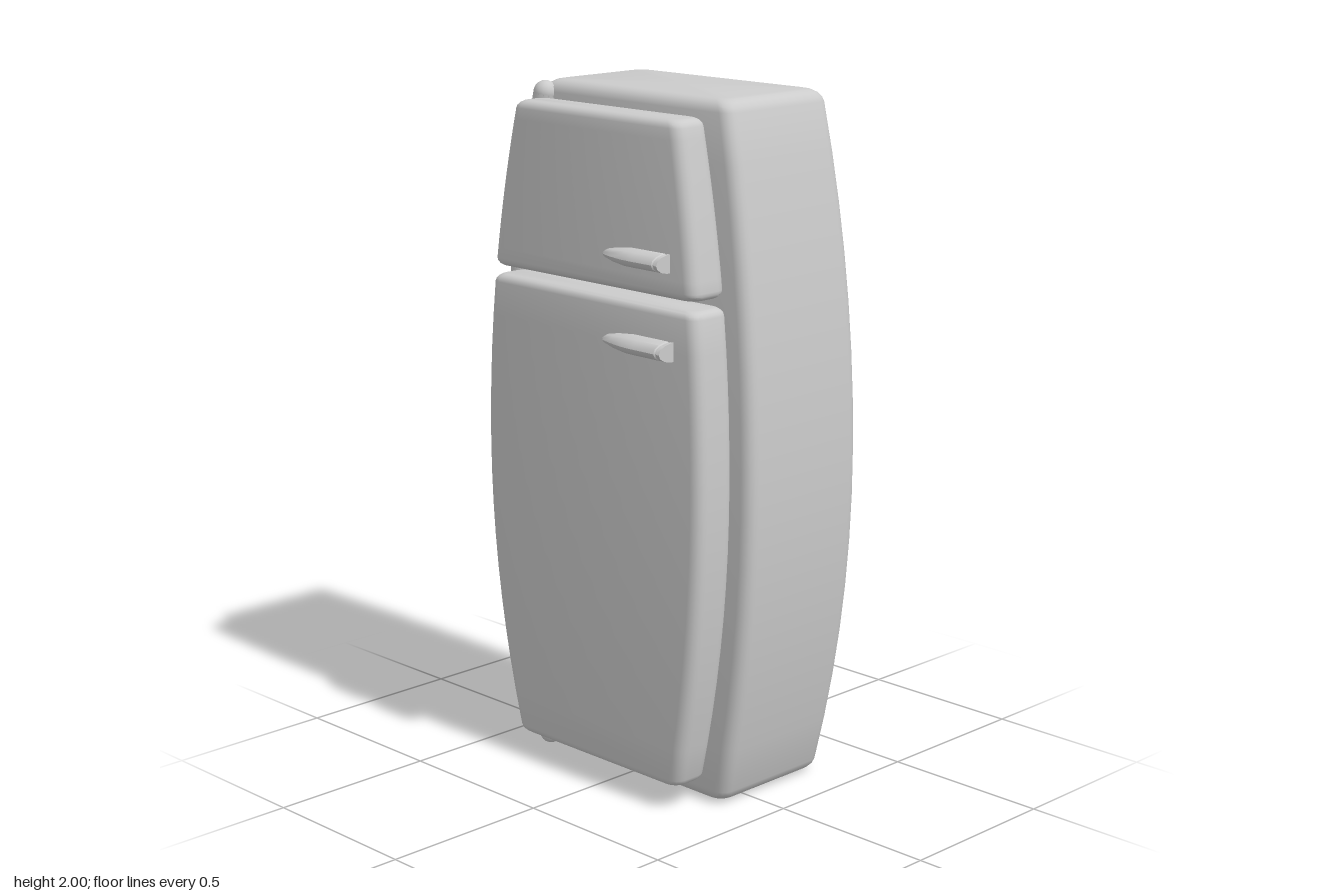
import * as THREE from 'three';
import { toCreasedNormals } from 'three/addons/utils/BufferGeometryUtils.js';

const material = new THREE.MeshStandardMaterial({ color: 0xcccccc });
const sheet = new THREE.MeshStandardMaterial({ color: 0xcccccc, side: THREE.DoubleSide });

// Bulge of the cabinet: squared distance from the widest height, and half width there
const bow = (y) => (y - 0.95) ** 2;
const halfWidth = (y) => 0.485 - (y > 0.95 ? 0.11 : 0.135) * bow(y);

// Closed skin through rings of points, with a fan at each end
function loft(rings, crease = 0.55) {
  const n = rings[0].length, pos = [], idx = [];
  rings.forEach((ring) => ring.forEach((p) => pos.push(p.x, p.y, p.z)));
  for (let r = 0; r < rings.length - 1; r++) {
    for (let i = 0; i < n; i++) {
      const a = r * n + i, d = r * n + ((i + 1) % n);
      idx.push(a, a + n, d + n, a, d + n, d);
    }
  }
  [rings[0], rings[rings.length - 1]].forEach((ring, end) => {
    const c = ring.reduce((s, p) => s.add(p), new THREE.Vector3()).divideScalar(n);
    const centre = pos.length / 3, base = end * (rings.length - 1) * n;
    pos.push(c.x, c.y, c.z);
    for (let i = 0; i < n; i++) {
      const a = base + i, b = base + ((i + 1) % n);
      idx.push(centre, end ? b : a, end ? a : b);
    }
  });
  const geo = new THREE.BufferGeometry();
  geo.setAttribute('position', new THREE.Float32BufferAttribute(pos, 3));
  geo.setIndex(idx);
  return toCreasedNormals(geo, crease);
}

// Rounded rectangle in a level plane
function roundedRing(x0, x1, z0, z1, y, r) {
  const ring = [], steps = 4;
  const corners = [[x1 - r, z1 - r], [x0 + r, z1 - r], [x0 + r, z0 + r], [x1 - r, z0 + r]];
  corners.forEach(([cx, cz], q) => {
    for (let i = 0; i <= steps; i++) {
      const a = (q + i / steps) * Math.PI / 2;
      ring.push(new THREE.Vector3(cx + r * Math.cos(a), y, cz + r * Math.sin(a)));
    }
  });
  return ring;
}

// Upright bulging block with rounded edges; bounds(y) gives [x0, x1, z0, z1]
function bulgingBlock(yMin, yMax, bounds, edge, corner) {
  const levels = [], steps = 4, rows = 14;
  for (let i = 0; i <= steps; i++) {
    const a = (i / steps) * Math.PI / 2;
    levels.push([yMin + edge * (1 - Math.sin(a)), edge * (1 - Math.cos(a))]);
  }
  levels.reverse();
  const bottom = levels.map(([y, inset]) => [y, inset]);
  const top = bottom.map(([y, inset]) => [yMax - (y - yMin), inset]).reverse();
  bottom.sort((a, b) => a[0] - b[0]);
  top.sort((a, b) => a[0] - b[0]);
  const middle = [];
  for (let i = 1; i < rows; i++) {
    middle.push([THREE.MathUtils.lerp(yMin + edge, yMax - edge, i / rows), 0]);
  }
  return loft([...bottom, ...middle, ...top].map(([y, inset]) => {
    const [x0, x1, z0, z1] = bounds(y);
    return roundedRing(x0 + inset, x1 - inset, z0 + inset, z1 - inset, y, corner);
  }));
}

// Streamlined handle: pointed at one end, cut square at the other
function handleGeometry(length, height, depth) {
  const stations = [[0, 0.2, 0.3], [0.05, 0.5, 0.48], [0.2, 0.78, 0.72], [0.42, 1, 0.95],
    [0.6, 1, 1], [0.92, 1, 1], [0.93, 0.92, 0.93], [0.95, 0.92, 0.93], [0.96, 1, 1], [1, 1, 1]];
  return loft(stations.map(([t, h, d]) => {
    const ring = [];
    for (let i = 0; i < 14; i++) {
      const a = (i / 14) * Math.PI * 2, c = Math.cos(a);
      ring.push(new THREE.Vector3(t * length, Math.sin(a) * h * height / 2,
        c > 0 ? c * d * depth : c * 0.02));
    }
    return ring;
  }), 0.7);
}

export function createModel() {
  const group = new THREE.Group();
  const add = (name, geometry, mat = material) => {
    const mesh = new THREE.Mesh(geometry, mat);
    mesh.name = name;
    group.add(mesh);
    return mesh;
  };

  // Barrel-shaped cabinet
  add('cabinet', bulgingBlock(0.005, 2, (y) => [
    -halfWidth(y), halfWidth(y), -0.31 + 0.018 * bow(y), 0.133 - 0.022 * bow(y),
  ], 0.035, 0.036));

  // Two doors following the bulge, set toward the hinge side
  const doorBounds = (y) => [
    0.032 - halfWidth(y), halfWidth(y) - 0.07, 0.12, 0.26 - 0.023 * bow(y),
  ];
  add('freezerDoor', bulgingBlock(1.475, 1.952, doorBounds, 0.022, 0.034));
  add('mainDoor', bulgingBlock(0.073, 1.45, doorBounds, 0.022, 0.034));

  // Door handles
  add('freezerHandle', handleGeometry(0.245, 0.052, 0.052)).position.set(0.05, 1.572, 0.251);
  add('mainHandle', handleGeometry(0.262, 0.054, 0.057)).position.set(0.052, 1.335, 0.255);

  // Hinge rod bent along the side, with round ends
  const rodPoint = (y) => new THREE.Vector3(0.03 - halfWidth(y), y, 0.138 - 0.024 * bow(y));
  const rodRadius = 0.034, rodPoints = [];
  for (let i = 0; i <= 12; i++) rodPoints.push(rodPoint(0.037 + i * (1.926 / 12)));
  const rod = new THREE.CatmullRomCurve3(rodPoints);
  add('hingeRod', new THREE.TubeGeometry(rod, 36, rodRadius, 14));
  [0, 12].forEach((i) => {
    add('hingeRodEnd', new THREE.SphereGeometry(rodRadius, 14, 10)).position.copy(rodPoints[i]);
  });

  // Hinge straps: thin bands from the cabinet side, round the rod, into the door
  const strapPath = new THREE.CatmullRomCurve3([
    [-0.025, 0.045], [-0.018, 0.075], [-0.04, 0.105], [-0.043, 0.13],
    [-0.026, 0.158], [0.004, 0.18], [0.018, 0.215], [0.045, 0.235],
  ].map(([x, z]) => new THREE.Vector3(x, 0, z)));
  const strapShape = new THREE.Shape();
  const outline = strapPath.getPoints(28);
  const side = (s) => outline.map((p, i) => {
    const t = strapPath.getTangent(i / 28);
    return new THREE.Vector2(p.x + t.z * s, -p.z + t.x * s);
  });
  strapShape.setFromPoints([...side(0.004), ...side(-0.004).reverse()]);
  [1.815, 0.225].forEach((y) => {
    const geo = new THREE.ExtrudeGeometry(strapShape, { depth: 0.09, bevelEnabled: false });
    geo.translate(0, 0, -0.045).rotateX(-Math.PI / 2);
    const strap = add('hingeStrap', toCreasedNormals(geo, 0.6), sheet);
    const low = rodPoint(y - 0.05), high = rodPoint(y + 0.05);
    strap.position.set(rodPoint(y).x, y, 0);
    strap.rotation.z = -Math.atan2(high.x - low.x, 0.1);
  });

  return group;
}
